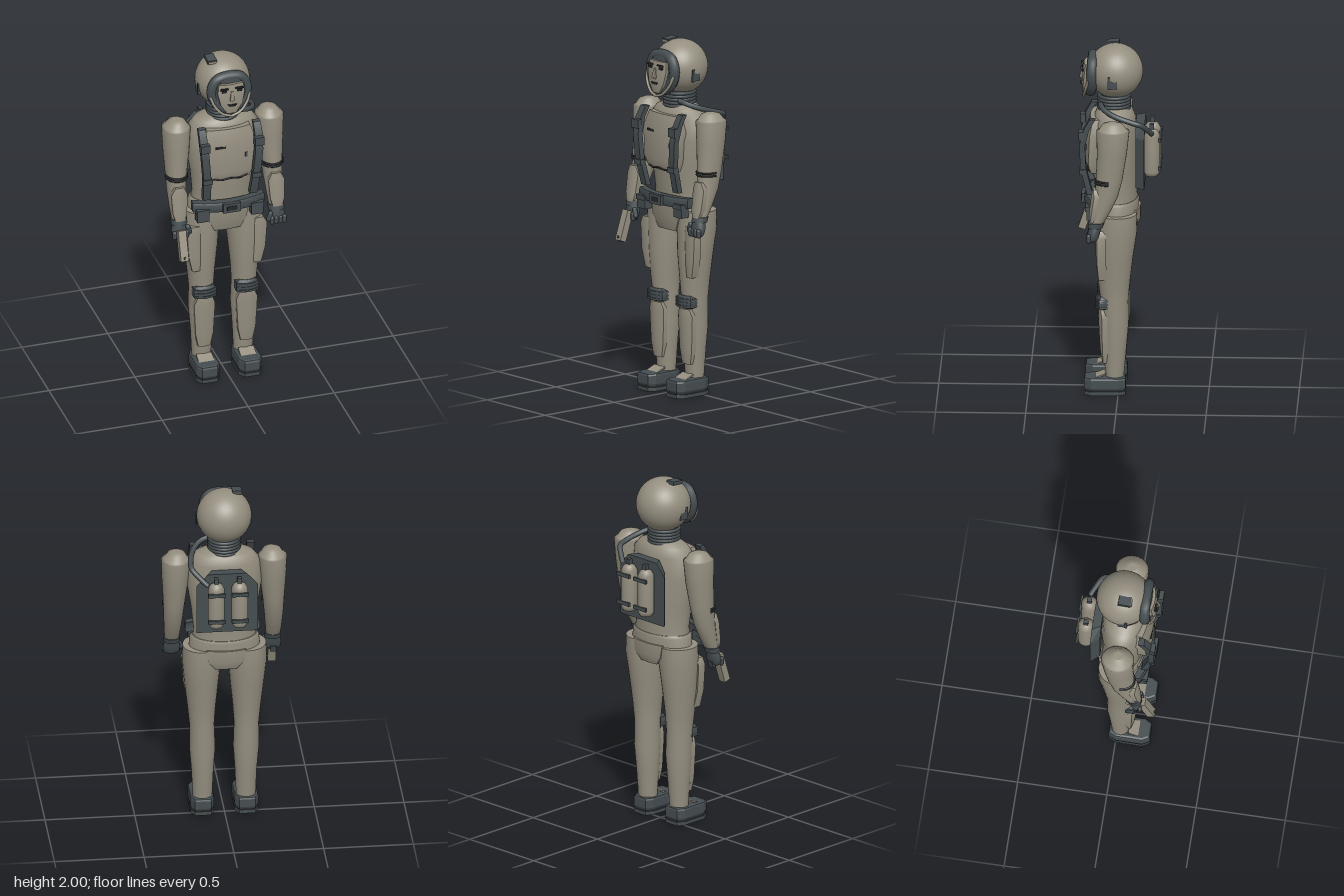
import * as THREE from 'three';

const suit = new THREE.MeshStandardMaterial({ color: 0x958f80 });
suit.name = 'warm grey';
const dark = new THREE.MeshStandardMaterial({ color: 0x454d50 });
dark.name = 'dark slate';
const ink = new THREE.MeshStandardMaterial({ color: 0x25282a });
ink.name = 'near black';

export function createModel() {
  const root = new THREE.Group();
  root.name = 'astronaut';
  const add = (name, geo, mat, x = 0, y = 0, z = 0) => {
    const m = new THREE.Mesh(geo, mat);
    m.name = name;
    m.position.set(x, y, z);
    root.add(m);
    return m;
  };
  const box = (name, mat, w, h, d, x, y, z) => add(name, new THREE.BoxGeometry(w, h, d), mat, x, y, z);

  // Smooth body through elliptical rings [y, cx, cz, rx, rz], listed from top to bottom
  const loft = (name, mat, rings, n = 28) => {
    const p = [], idx = [];
    for (const [y, cx, cz, rx, rz] of rings)
      for (let i = 0; i < n; i++) {
        const a = (i / n) * Math.PI * 2;
        p.push(cx + Math.sin(a) * rx, y, cz + Math.cos(a) * rz);
      }
    for (let r = 0; r < rings.length - 1; r++)
      for (let i = 0; i < n; i++) {
        const a = r * n + i, b = r * n + (i + 1) % n;
        idx.push(a, a + n, b, b, a + n, b + n);
      }
    [0, rings.length - 1].forEach((r, end) => {
      const s = p.length / 3, [y, cx, cz] = rings[r];
      for (let i = 0; i < n; i++) p.push(...p.slice((r * n + i) * 3, (r * n + i) * 3 + 3));
      p.push(cx, y, cz);
      for (let i = 0; i < n; i++) {
        const a = s + i, b = s + (i + 1) % n;
        end ? idx.push(s + n, b, a) : idx.push(s + n, a, b);
      }
    });
    const g = new THREE.BufferGeometry();
    g.setAttribute('position', new THREE.Float32BufferAttribute(p, 3));
    g.setIndex(idx);
    g.computeVertexNormals();
    return add(name, g, mat);
  };

  // Curved armour plate through rows [y, x from, x to, front z]; k bends it around the body
  const panel = (name, mat, rows, t, k = 0, s = 1) => {
    const n = rows.length - 1, g = new THREE.BoxGeometry(1, 1, 1, 8, n, 1), v = g.attributes.position;
    for (let i = 0; i < v.count; i++) {
      const [y, a, b, z] = rows[Math.round((0.5 - v.getY(i)) * n)];
      const lo = s > 0 ? a : -b, hi = s > 0 ? b : -a;
      const x = lo + (hi - lo) * (v.getX(i) + 0.5), dx = x - (lo + hi) / 2;
      v.setXYZ(i, x, y, z + (v.getZ(i) - 0.5) * t - k * dx * dx);
    }
    g.computeVertexNormals();
    return add(name, g, mat);
  };

  const tube = (name, mat, pts, r, closed = false) => add(name, new THREE.TubeGeometry(
    new THREE.CatmullRomCurve3(pts.map(q => new THREE.Vector3(...q)), closed), 48, r, 10, closed), mat);

  // Outline [x, z] raised along y with a bevel
  const slab = (name, mat, pts, y0, y1, bevel, x) => {
    const g = new THREE.ExtrudeGeometry(new THREE.Shape(pts.map(([a, b]) => new THREE.Vector2(a, -b))),
      { depth: y1 - y0 - 2 * bevel, bevelThickness: bevel, bevelSize: bevel, bevelOffset: -bevel, bevelSegments: 2 });
    g.rotateX(-Math.PI / 2);
    return add(name, g, mat, x, y0 + bevel, 0);
  };

  // Head
  add('helmet', new THREE.SphereGeometry(0.153, 40, 28), suit, 0, 1.843, 0.02);
  tube('visorFrame', dark, [[0, 1.925, 0.145], [0.07, 1.91, 0.147], [0.1, 1.85, 0.148], [0.088, 1.785, 0.15],
    [0.05, 1.74, 0.155], [0, 1.725, 0.16], [-0.05, 1.74, 0.155], [-0.088, 1.785, 0.15], [-0.1, 1.85, 0.148], [-0.07, 1.91, 0.147]], 0.029, true);
  panel('visorBacking', dark, [[1.93, -0.06, 0.06, 0.172], [1.87, -0.1, 0.1, 0.182], [1.78, -0.09, 0.09, 0.185], [1.71, -0.03, 0.03, 0.185]], 0.05, 1.5);
  panel('face', suit, [[1.895, -0.07, 0.07, 0.195], [1.84, -0.078, 0.078, 0.206], [1.77, -0.062, 0.062, 0.208], [1.715, -0.025, 0.025, 0.2]], 0.03, 2.5);
  panel('nose', suit, [[1.855, -0.006, 0.006, 0.21], [1.805, -0.014, 0.014, 0.224], [1.797, -0.01, 0.01, 0.21]], 0.02, 30);
  panel('mouth', ink, [[1.777, -0.026, 0.026, 0.214], [1.766, -0.018, 0.018, 0.214]], 0.008, 2.5);
  for (const s of [-1, 1]) {
    panel('eyebrow', ink, [[1.88, 0.022, 0.064, 0.211], [1.872, 0.018, 0.068, 0.212]], 0.009, 4, s);
    panel('eye', ink, [[1.865, 0.028, 0.06, 0.206], [1.852, 0.032, 0.056, 0.206]], 0.009, 4, s);
    tube('chinGuard', suit, [[s * 0.115, 1.82, 0.168], [s * 0.095, 1.765, 0.182], [s * 0.05, 1.715, 0.194], [0, 1.697, 0.198]], 0.008);
    box('earBracketUpright', dark, 0.012, 0.07, 0.016, s * 0.148, 1.815, 0.052);
    box('earBracketFoot', dark, 0.016, 0.045, 0.05, s * 0.143, 1.805, 0.032);
  }
  const lamp = box('helmetLamp', dark, 0.053, 0.02, 0.07, -0.072, 1.985, 0.035);
  lamp.rotation.x = 0.1;
  box('lampLens', suit, 0.042, 0.014, 0.008, -0.072, 1.979, 0.072);

  // Neck with bellows
  loft('neck', dark, [[1.72, 0, 0.025, 0.08, 0.08], [1.61, 0, 0.025, 0.085, 0.08]]);
  for (let i = 0; i < 5; i++) {
    const ring = add('neckRing', new THREE.TorusGeometry(0.084, 0.01, 8, 32), dark, 0, 1.63 + i * 0.018, 0.027);
    ring.rotation.x = Math.PI / 2;
  }

  // Torso and hips
  loft('torso', suit, [[1.64, 0, 0.025, 0.09, 0.075], [1.615, 0, 0.025, 0.16, 0.1], [1.57, 0, 0.025, 0.2, 0.118],
    [1.45, 0, 0.027, 0.212, 0.13], [1.28, 0, 0.022, 0.185, 0.126], [1.15, 0, 0.015, 0.172, 0.116], [1.08, 0, 0.012, 0.18, 0.115]], 40);
  loft('waistBand', suit, [[1.115, 0, 0.012, 0.18, 0.118], [1.1, 0, 0.012, 0.193, 0.124], [1.03, 0, 0.012, 0.2, 0.122]], 40);
  loft('pelvis', suit, [[1.06, 0, 0.01, 0.19, 0.115], [1.0, 0, 0.01, 0.15, 0.118], [0.95, 0, 0.01, 0.09, 0.1], [0.925, 0, 0.01, 0.05, 0.06]]);
  panel('hipPlate', suit, [[1.085, -0.115, 0.115, 0.155], [1.0, -0.11, 0.11, 0.148], [0.93, -0.075, 0.075, 0.125]], 0.04, 1.5);
  panel('seatPlate', suit, [[1.06, -0.11, 0.11, 0.12], [0.99, -0.1, 0.1, 0.12], [0.94, -0.06, 0.06, 0.1]], 0.03, 1.5).rotation.y = Math.PI;
  panel('chestPlate', suit, [[1.59, -0.125, 0.125, 0.16], [1.5, -0.155, 0.155, 0.188], [1.33, -0.135, 0.135, 0.188], [1.275, -0.115, 0.115, 0.17]], 0.05, 1.2);
  tube('chestSeam', ink, [[-0.12, 1.295, 0.15], [-0.06, 1.28, 0.173], [0, 1.288, 0.18], [0.06, 1.28, 0.173], [0.12, 1.295, 0.15]], 0.005);
  box('chestSlot', ink, 0.06, 0.012, 0.008, -0.06, 1.492, 0.184);
  box('chestTag', dark, 0.012, 0.028, 0.008, 0.09, 1.425, 0.178);

  // Belt
  panel('belt', dark, [[1.138, -0.205, 0.205, 0.185], [1.125, -0.208, 0.208, 0.192], [1.095, -0.208, 0.208, 0.192], [1.08, -0.205, 0.205, 0.185]], 0.04, 1.1);
  box('buckle', dark, 0.1, 0.055, 0.02, 0, 1.11, 0.197);
  box('buckleInset', ink, 0.06, 0.025, 0.008, 0, 1.11, 0.206);

  for (const s of [-1, 1]) {
    // Chest straps and pouches
    panel('strap', dark, [[1.61, 0.138, 0.18, 0.158], [1.55, 0.138, 0.182, 0.192], [1.46, 0.134, 0.178, 0.215],
      [1.32, 0.122, 0.166, 0.21], [1.165, 0.112, 0.158, 0.172]], 0.032, 0, s);
    box('strapClip', dark, 0.054, 0.05, 0.03, s * 0.157, 1.515, 0.205);
    box('strapClip', dark, 0.054, 0.03, 0.03, s * 0.142, 1.3, 0.2);
    box('pouch', dark, 0.068, 0.075, 0.05, s * 0.157, 1.065, 0.15);
    box('pouchFlap', dark, 0.074, 0.028, 0.058, s * 0.157, 1.09, 0.152);

    // Arm
    loft('arm', suit, [[1.625, s * 0.265, 0.027, 0.025, 0.025], [1.617, s * 0.266, 0.027, 0.048, 0.055], [1.585, s * 0.268, 0.025, 0.068, 0.078],
      [1.58, s * 0.27, 0.025, 0.08, 0.092], [1.45, s * 0.272, 0.03, 0.074, 0.083], [1.3, s * 0.277, 0.045, 0.06, 0.074],
      [1.2, s * 0.28, 0.06, 0.053, 0.064], [1.1, s * 0.282, 0.092, 0.045, 0.048], [1.04, s * 0.282, 0.115, 0.039, 0.036]]);
    for (const y of [1.295, 1.28]) {
      const fold = add('elbowFold', new THREE.TorusGeometry(0.061, 0.006, 6, 20, Math.PI), ink, s * 0.277, y, 0.047);
      fold.rotation.x = Math.PI / 2;
      fold.scale.y = 1.2;
    }
    panel('forearmPlate', suit, [[1.245, 0.255, 0.305, 0.136], [1.2, 0.236, 0.328, 0.145], [1.09, 0.242, 0.324, 0.158], [1.045, 0.255, 0.31, 0.158]], 0.03, 8, s);

    // Glove
    loft('cuff', dark, [[1.05, s * 0.282, 0.113, 0.046, 0.044], [1.02, s * 0.282, 0.122, 0.046, 0.042]]);
    loft('palm', dark, [[1.025, s * 0.282, 0.122, 0.036, 0.034], [0.985, s * 0.282, 0.13, 0.048, 0.034], [0.955, s * 0.282, 0.135, 0.045, 0.03], [0.942, s * 0.282, 0.135, 0.035, 0.02]]);
    for (let i = 0; i < 4; i++)
      add('finger', new THREE.CapsuleGeometry(0.013, 0.026, 4, 8), dark, s * (0.247 + i * 0.024), 0.962, 0.157);
    add('thumb', new THREE.CapsuleGeometry(0.014, 0.035, 4, 8), dark, s * 0.235, 0.985, 0.15).rotation.z = -s * 0.3;

    // Leg
    loft('leg', suit, [[1.05, s * 0.128, 0.01, 0.105, 0.112], [0.95, s * 0.128, 0.01, 0.108, 0.115], [0.8, s * 0.127, 0.02, 0.094, 0.103],
      [0.65, s * 0.126, 0.023, 0.078, 0.088], [0.54, s * 0.124, 0.022, 0.069, 0.077], [0.4, s * 0.122, 0.018, 0.072, 0.075],
      [0.25, s * 0.121, 0.02, 0.061, 0.064], [0.09, s * 0.121, 0.02, 0.054, 0.05]]);
    panel('thighPlate', suit, [[0.97, 0.155, 0.21, 0.122], [0.93, 0.145, 0.232, 0.126], [0.78, 0.15, 0.222, 0.122], [0.68, 0.155, 0.2, 0.11]], 0.05, 6, s);
    panel('kneePad', dark, [[0.572, 0.078, 0.168, 0.105], [0.555, 0.058, 0.188, 0.122], [0.515, 0.058, 0.188, 0.122], [0.5, 0.072, 0.174, 0.108]], 0.04, 5, s);
    for (let i = 0; i < 3; i++)
      panel('kneeRib', dark, [[0.558 - i * 0.02, 0.058, 0.188, 0.126], [0.546 - i * 0.02, 0.058, 0.188, 0.126]], 0.05, 5, s);
    panel('shinPlate', suit, [[0.495, 0.078, 0.166, 0.108], [0.45, 0.062, 0.184, 0.112], [0.26, 0.072, 0.174, 0.102], [0.18, 0.088, 0.158, 0.09]], 0.04, 6, s);

    // Boot
    const boot = [[-0.045, 0.19], [0.045, 0.19], [0.068, 0.15], [0.066, 0.0], [0.045, -0.042], [-0.045, -0.042], [-0.066, 0.0], [-0.068, 0.15]];
    slab('bootSole', dark, boot, 0, 0.022, 0.004, s * 0.123);
    slab('bootWelt', ink, boot.map(([x, z]) => [x * 0.94, 0.074 + (z - 0.074) * 0.95]), 0.015, 0.035, 0.002, s * 0.123);
    slab('bootUpper', dark, boot, 0.028, 0.102, 0.014, s * 0.123);
    const tongue = box('bootTongue', suit, 0.09, 0.008, 0.06, s * 0.122, 0.11, 0.095);
    tongue.rotation.x = 0.4;

    // Air tank with clamps and valve
    loft('airTank', suit, [[1.525, s * 0.065, -0.183, 0.014, 0.014], [1.515, s * 0.065, -0.183, 0.032, 0.032], [1.49, s * 0.065, -0.183, 0.046, 0.046],
      [1.28, s * 0.065, -0.183, 0.046, 0.046], [1.255, s * 0.065, -0.183, 0.034, 0.034], [1.247, s * 0.065, -0.183, 0.016, 0.016]]);
    box('tankValve', dark, 0.024, 0.035, 0.026, s * 0.065, 1.537, -0.183);
    for (const y of [1.47, 1.305]) box('tankClamp', dark, 0.096, 0.02, 0.014, s * 0.065, y, -0.229);
  }

  // Backpack plate, wider at the rear face
  const pack = new THREE.Shape([[-0.11, 1.56], [0.11, 1.56], [0.172, 1.49], [0.172, 1.2], [-0.172, 1.2], [-0.172, 1.49]]
    .map(q => new THREE.Vector2(...q)));
  const packGeo = new THREE.ExtrudeGeometry(pack, { depth: 0.05, bevelEnabled: false });
  const pv = packGeo.attributes.position;
  for (let i = 0; i < pv.count; i++) if (pv.getZ(i) > 0.01) pv.setX(i, pv.getX(i) * 0.74);
  packGeo.computeVertexNormals();
  add('backpackPlate', packGeo, dark, 0, 0, -0.145);
  tube('airHose', dark, [[0.08, 1.67, 0.1], [0.13, 1.655, 0.08], [0.175, 1.63, 0.02], [0.197, 1.6, -0.08], [0.192, 1.585, -0.125], [0.15, 1.545, -0.16], [0.11, 1.51, -0.185]], 0.015);

  // Sidearm in the right hand
  const gun = new THREE.Group();
  gun.name = 'sidearm';
  gun.position.set(-0.283, 0.91, 0.19);
  gun.rotation.x = -0.32;
  const part = (name, mat, w, h, d, x, y, z) => gun.add(box(name, mat, w, h, d, x, y, z));
  part('gunBody', suit, 0.046, 0.175, 0.042, 0, 0, 0);
  part('gunMuzzle', ink, 0.02, 0.008, 0.02, 0, -0.088, 0);
  part('gunSight', dark, 0.01, 0.014, 0.008, 0, -0.07, 0.024);
  part('gunGrip', dark, 0.034, 0.04, 0.06, 0, 0.06, -0.04);
  root.add(gun);

  return root;
}
